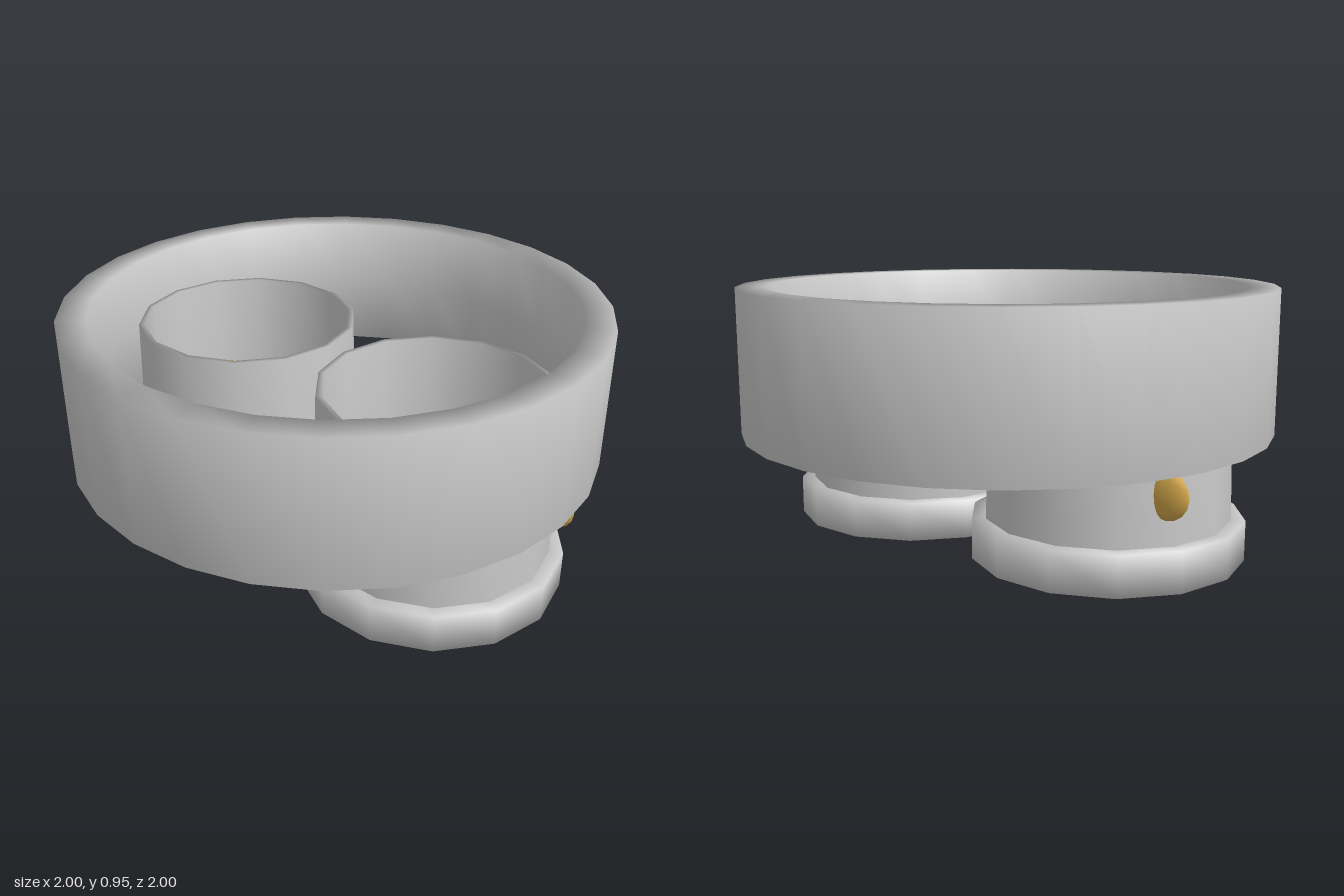
import * as THREE from 'three';

const grey = new THREE.MeshStandardMaterial({ color: 0xcccccc });
const gold = new THREE.MeshStandardMaterial({ color: 0xd4a84b });

// Closed hollow ring: outer radius may differ from bottom to top
function hollowRing(name, sides, y0, y1, outer0, outer1, inner) {
  const mid = (y0 + y1) / 2;
  const profile = [
    [inner, mid], [inner, y0], [outer0, y0],
    [outer1, y1], [inner, y1], [inner, mid],
  ].map(([r, y]) => new THREE.Vector2(r, y));
  // profile runs counter-clockwise so faces point out of the wall
  const geometry = new THREE.LatheGeometry(profile, sides, Math.PI / 2);
  const mesh = new THREE.Mesh(geometry, grey);
  mesh.name = name;
  return mesh;
}

// One small tube: flared foot, slightly tapered wall and three studs
function smallTube(name, x) {
  const tube = new THREE.Group();
  tube.name = name;
  tube.position.x = x;
  tube.add(hollowRing('foot', 14, 0, 0.145, 0.495, 0.495, 0.387));
  tube.add(hollowRing('wall', 14, 0.05, 0.76, 0.447, 0.428, 0.407));

  const studGeometry = new THREE.SphereGeometry(0.085, 10, 8);
  for (let i = 0; i < 3; i++) {
    const angle = (i * 2 * Math.PI) / 3;
    const stud = new THREE.Mesh(studGeometry, gold);
    stud.name = 'stud';
    stud.scale.z = 0.36;
    stud.position.set(0.44 * Math.sin(angle), 0.32, 0.44 * Math.cos(angle));
    tube.add(stud);
  }
  return tube;
}

export function createModel() {
  const model = new THREE.Group();
  model.name = 'ringWithTwinTubes';
  model.add(hollowRing('largeRing', 28, 0.415, 0.95, 1, 1, 0.893));
  model.add(smallTube('leftTube', 0.465), smallTube('rightTube', -0.465));
  return model;
}
